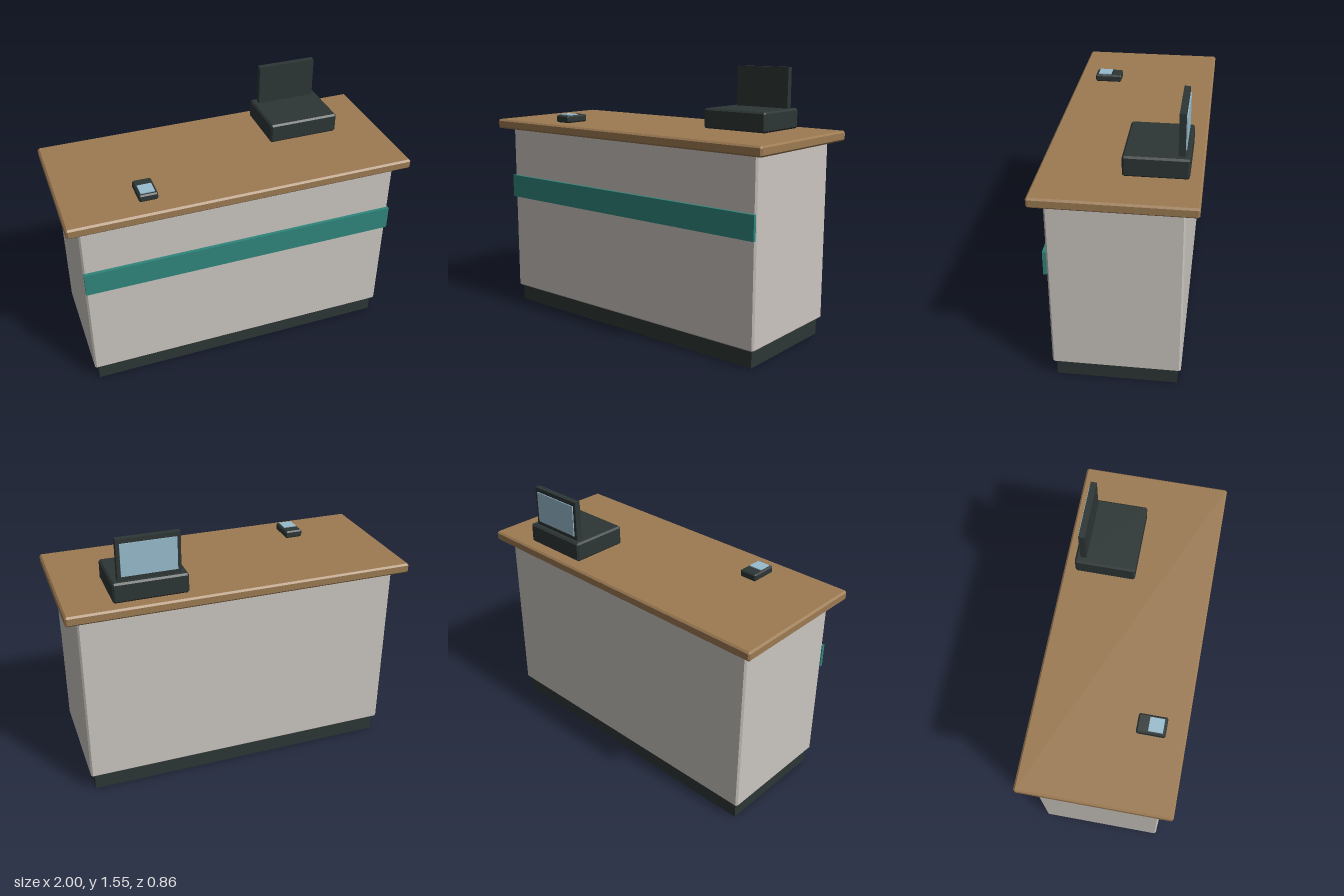
import * as THREE from 'three';
import { ConvexGeometry } from 'three/addons/geometries/ConvexGeometry.js';

const mat = (name, color) => {
  const m = new THREE.MeshStandardMaterial({ color });
  m.name = name;
  return m;
};

// Box with flat chamfered edges: three points at each of the eight corners
function chamferBox(w, h, d, c) {
  const points = [];
  for (const x of [-1, 1]) for (const y of [-1, 1]) for (const z of [-1, 1]) {
    for (const [a, b, e] of [[0, c, c], [c, 0, c], [c, c, 0]]) {
      points.push(new THREE.Vector3(x * (w / 2 - a), y * (h / 2 - b), z * (d / 2 - e)));
    }
  }
  return new ConvexGeometry(points);
}

export function createModel() {
  const model = new THREE.Group();
  model.name = 'serviceCounter';

  const wood = mat('wood', 0x9c7a52);
  const panel = mat('palePanel', 0xcac5bf);
  const dark = mat('darkPlastic', 0x2d3635);
  const teal = mat('tealTrim', 0x30857c);
  const glass = mat('screenGlass', 0x98bccd);

  // Places a box by its min and max on each axis
  function block(parent, name, material, [x0, x1], [y0, y1], [z0, z1], chamfer = 0) {
    const size = [x1 - x0, y1 - y0, z1 - z0];
    const geometry = chamfer ? chamferBox(...size, chamfer) : new THREE.BoxGeometry(...size);
    const mesh = new THREE.Mesh(geometry, material);
    mesh.name = name;
    mesh.position.set((x0 + x1) / 2, (y0 + y1) / 2, (z0 + z1) / 2);
    parent.add(mesh);
  }

  // Counter
  block(model, 'plinth', dark, [-0.907, 0.907], [0, 0.1], [-0.338, 0.338]);
  block(model, 'cabinet', panel, [-0.93, 0.93], [0.098, 1.145], [-0.358, 0.358], 0.01);
  block(model, 'frontStripe', teal, [-0.93, 0.93], [0.7, 0.84], [0.358, 0.377]);
  block(model, 'worktop', wood, [-1, 1], [1.143, 1.2], [-0.428, 0.428], 0.01);

  // Till with its upright screen facing the back
  const till = new THREE.Group();
  till.name = 'till';
  model.add(till);
  block(till, 'tillBase', dark, [0.31, 0.73], [1.2, 1.315], [-0.36, -0.013], 0.01);
  block(till, 'tillScreenFrame', dark, [0.345, 0.695], [1.31, 1.55], [-0.332, -0.297]);
  block(till, 'tillScreen', glass, [0.365, 0.675], [1.34, 1.525], [-0.338, -0.332]);

  // Card reader
  const reader = new THREE.Group();
  reader.name = 'cardReader';
  model.add(reader);
  block(reader, 'readerBody', dark, [-0.58, -0.473], [1.2, 1.244], [0.153, 0.314], 0.008);
  block(reader, 'readerScreen', glass, [-0.567, -0.487], [1.243, 1.249], [0.217, 0.297]);

  return model;
}
